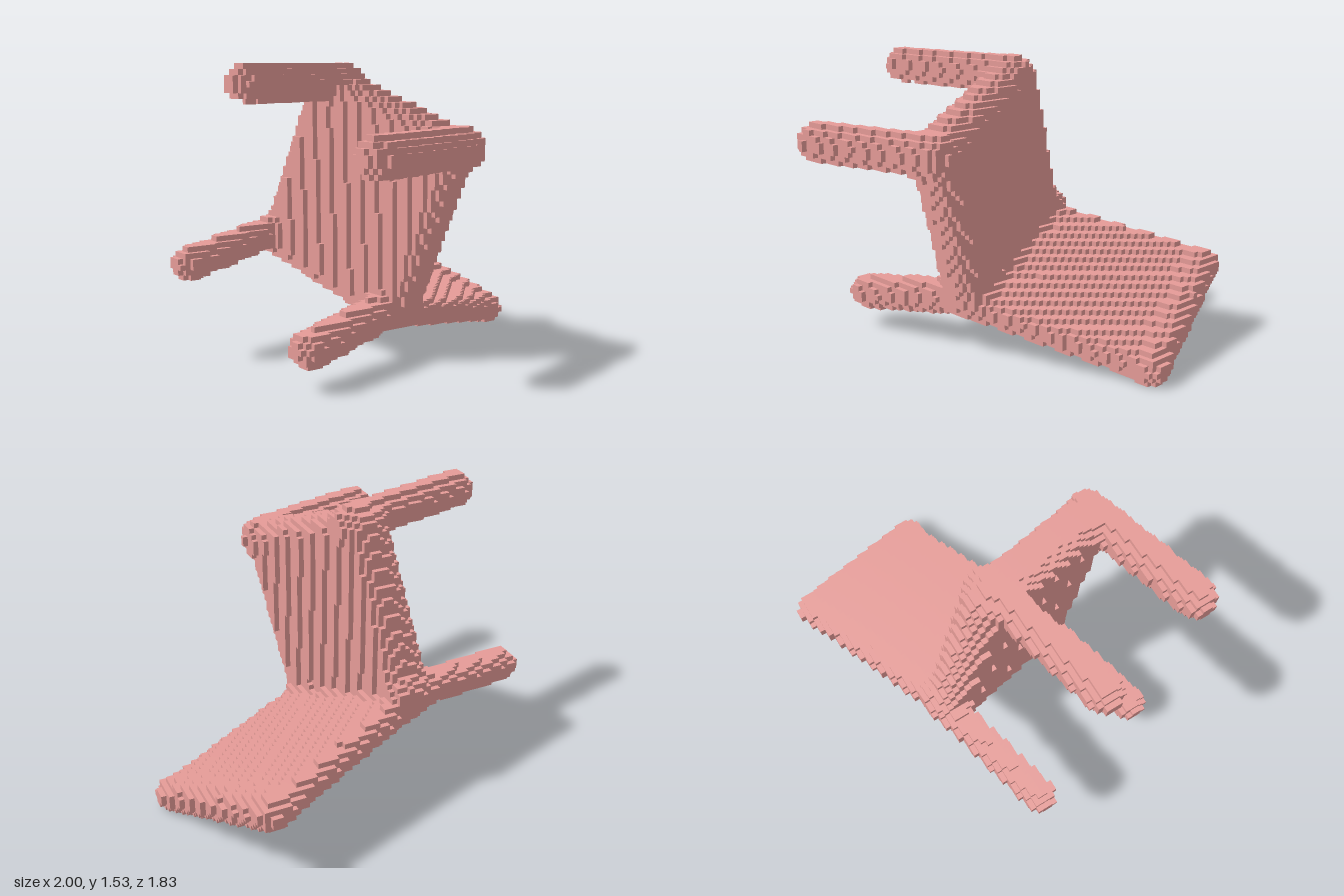
import * as THREE from 'three';

const V = (x, y, z) => new THREE.Vector3(x, y, z);
const CELL = 2 / 72;

// Distance to a round bar between two points
function bar(a, b, r) {
  const ab = b.clone().sub(a), len2 = ab.lengthSq(), q = V(0, 0, 0);
  return (p) => {
    q.copy(p).sub(a);
    const t = THREE.MathUtils.clamp(q.dot(ab) / len2, 0, 1);
    return q.addScaledVector(ab, -t).length() - r;
  };
}

// Distance to a slab through four corners (a-b opposite c-d), with edges
// rounded by r that reach "over" beyond the corners
function slab(a, b, c, d, half, r, over, shift) {
  const u = b.clone().sub(a), v = c.clone().sub(a);
  const h = [u.length() / 2 + over - r, v.length() / 2 + over - r, half - r];
  u.normalize();
  v.addScaledVector(u, -v.dot(u)).normalize();
  const n = u.clone().cross(v);
  const mid = a.clone().add(b).add(c).add(d).multiplyScalar(0.25).addScaledVector(n, shift);
  const q = V(0, 0, 0), e = V(0, 0, 0), zero = V(0, 0, 0);
  return (p) => {
    q.copy(p).sub(mid);
    e.set(Math.abs(q.dot(u)) - h[0], Math.abs(q.dot(v)) - h[1], Math.abs(q.dot(n)) - h[2]);
    const inside = Math.min(Math.max(e.x, e.y, e.z), 0);
    return e.max(zero).length() + inside - r;
  };
}

// Soft union, for small fillets at the joints
function blend(a, b, k) {
  const h = Math.max(k - Math.abs(a - b), 0) / k;
  return Math.min(a, b) - h * h * k * 0.25;
}

export function createModel() {
  // Seat corners and far corners of the backrest; the chair lies on its back
  const A = V(-0.08, 1.43, -0.17), B = V(0.14, 1.125, 0.59);
  const C = V(-0.2, 0.56, -0.52), D = V(0.03, 0.25, 0.23);
  const E = V(0.655, 0.385, -0.815), F = V(0.925, 0.07, -0.08);

  const parts = [
    { name: 'seat', dist: slab(A, B, C, D, 0.12, 0.11, 0.077, -0.065) },
    { name: 'backrest', dist: slab(C, D, E, F, 0.07, 0.068, 0.068, 0) },
    { name: 'backrestTopRail', dist: bar(E, F, 0.074) },
    { name: 'frontLegUpper', dist: bar(V(-0.08, 1.43, -0.115), V(-0.8, 1.435, 0.07), 0.088) },
    { name: 'frontLegLower', dist: bar(V(0.11, 1.115, 0.605), V(-0.565, 1.115, 0.805), 0.1) },
    { name: 'rearLegUpper', dist: bar(V(-0.2, 0.63, -0.51), V(-0.922, 0.52, -0.31), 0.08) },
    { name: 'rearLegLower', dist: bar(V(0.0, 0.29, 0.23), V(-0.69, 0.2, 0.44), 0.088) },
  ];

  // Fill a grid of cells, each holding the index of its nearest part
  const N = [74, 58, 68], start = V(-37 * CELL, -CELL, -34 * CELL);
  const grid = new Int8Array(N[0] * N[1] * N[2]).fill(-1);
  const at = (i, j, k) => (i * N[1] + j) * N[2] + k;
  const p = V(0, 0, 0);
  for (let i = 1; i < N[0] - 1; i++)
    for (let j = 1; j < N[1] - 1; j++)
      for (let k = 1; k < N[2] - 1; k++) {
        p.set(i + 0.5, j + 0.5, k + 0.5).multiplyScalar(CELL).add(start);
        let total = 9, best = 9, owner = -1;
        parts.forEach((part, index) => {
          const d = part.dist(p);
          total = blend(total, d, 0.05);
          if (d < best) { best = d; owner = index; }
        });
        if (total < 0) grid[at(i, j, k)] = owner;
      }

  // Emit every cell side that borders an empty cell
  const data = parts.map(() => ({ pos: [], nor: [] }));
  for (let i = 1; i < N[0] - 1; i++)
    for (let j = 1; j < N[1] - 1; j++)
      for (let k = 1; k < N[2] - 1; k++) {
        const owner = grid[at(i, j, k)];
        if (owner < 0) continue;
        const { pos, nor } = data[owner];
        for (let axis = 0; axis < 3; axis++)
          for (const s of [-1, 1]) {
            const next = [i, j, k];
            next[axis] += s;
            if (grid[at(...next)] >= 0) continue;
            const b = (axis + 1) % 3, c = (axis + 2) % 3;
            const quad = [[0, 0], [1, 0], [1, 1], [0, 1]].map(([m, n]) => {
              const q = [i, j, k];
              q[axis] += s > 0 ? 1 : 0;
              q[b] += m;
              q[c] += n;
              return V(...q).multiplyScalar(CELL).add(start);
            });
            const normal = [0, 0, 0];
            normal[axis] = s;
            for (const t of s > 0 ? [0, 1, 2, 0, 2, 3] : [0, 2, 1, 0, 3, 2]) {
              pos.push(...quad[t].toArray());
              nor.push(...normal);
            }
          }
      }

  // One mesh per part
  const material = new THREE.MeshStandardMaterial({ color: 0xe59b97 });
  const group = new THREE.Group();
  group.name = 'blockChair';
  parts.forEach((part, index) => {
    const geometry = new THREE.BufferGeometry();
    geometry.setAttribute('position', new THREE.Float32BufferAttribute(data[index].pos, 3));
    geometry.setAttribute('normal', new THREE.Float32BufferAttribute(data[index].nor, 3));
    const mesh = new THREE.Mesh(geometry, material);
    mesh.name = part.name;
    group.add(mesh);
  });
  return group;
}
